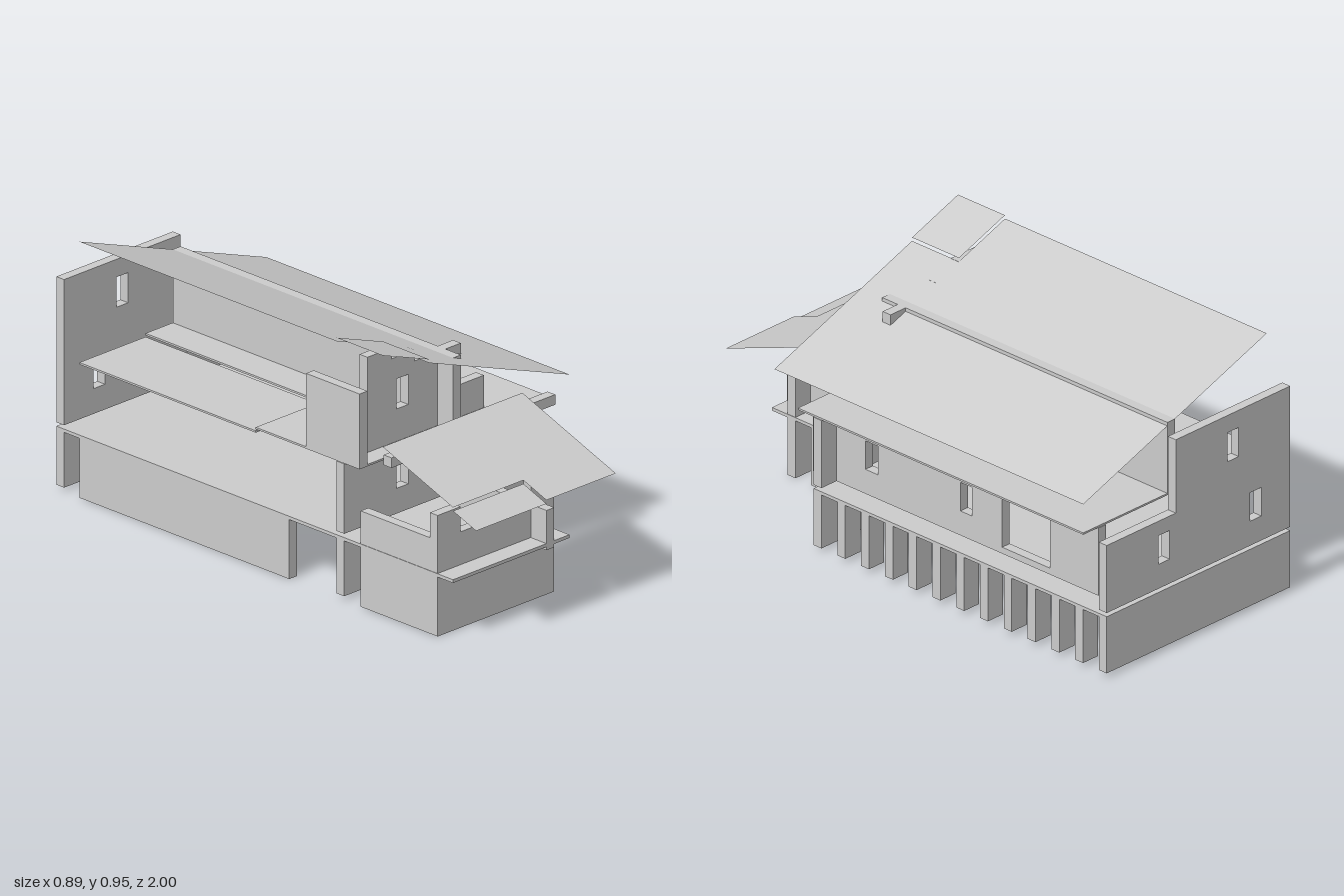
import * as THREE from 'three';

export function createModel() {
  const house = new THREE.Group();
  house.name = 'house';
  const solid = new THREE.MeshStandardMaterial({ color: 0xcccccc, flatShading: true });
  const sheet = new THREE.MeshStandardMaterial({ color: 0xcccccc, flatShading: true, side: THREE.DoubleSide });
  const T = 0.037; // wall thickness

  function add(name, geometry, material = solid) {
    const mesh = new THREE.Mesh(geometry, material);
    mesh.name = name;
    house.add(mesh);
    return mesh;
  }

  // Box given by its limits
  function box(name, x0, x1, y0, y1, z0, z1) {
    const mesh = add(name, new THREE.BoxGeometry(x1 - x0, y1 - y0, z1 - z0));
    mesh.position.set((x0 + x1) / 2, (y0 + y1) / 2, (z0 + z1) / 2);
  }

  // Outline with rectangular openings [u0, u1, v0, v1]
  function outline(points, holes = []) {
    const shape = new THREE.Shape(points.map(p => new THREE.Vector2(...p)));
    for (const [a, b, c, d] of holes) {
      shape.holes.push(new THREE.Path([[a, c], [a, d], [b, d], [b, c]].map(p => new THREE.Vector2(...p))));
    }
    return shape;
  }

  const rect = (a, b, c, d) => [[a, c], [b, c], [b, d], [a, d]];
  const extrude = (shape, depth) => new THREE.ExtrudeGeometry(shape, { depth, bevelEnabled: false });

  // Wall facing the front, its back face at z
  function frontWall(name, z, points, holes) {
    add(name, extrude(outline(points, holes), T)).position.z = z;
  }

  // Flat floor from a plan in (x, z)
  function floor(name, y, thickness, plan) {
    const geometry = extrude(outline(plan.map(([x, z]) => [x, -z])), thickness);
    add(name, geometry.rotateX(-Math.PI / 2)).position.y = y;
  }

  // Thin sloped sheet from a plan in (x, z) and a height rule
  function roof(name, plan, height) {
    const geometry = new THREE.ShapeGeometry(outline(plan.map(([x, z]) => [x, -z]))).rotateX(-Math.PI / 2);
    const p = geometry.attributes.position;
    for (let i = 0; i < p.count; i++) p.setY(i, height(p.getX(i), p.getZ(i)));
    geometry.computeVertexNormals();
    add(name, geometry, sheet);
  }

  // Base walls
  box('backBaseWall', -0.445, 0.445, 0.015, 0.217, -1, -0.963);
  box('frontBaseWall', -0.445, 0.445, 0.015, 0.217, 0.335, 0.372);
  box('sideBaseWall', -0.445, -0.408, 0, 0.217, -0.89, 0.11);
  box('porchFrontBaseWall', -0.445, 0.11, 0, 0.217, 0.78, 0.817);
  box('porchSideBaseWall', -0.445, -0.408, 0, 0.217, 0.45, 0.78);

  // Rows of short piers under the floors
  for (let i = 1; i < 12; i++) {
    const z = 0.335 - i * 0.1113;
    box('pier', 0.372, 0.445, 0.015, 0.217, z, z + T);
  }
  for (let i = 1; i < 4; i++) {
    const z = 0.78 - i * 0.11;
    box('porchPier', 0.037, 0.11, 0, 0.217, z, z + T);
  }

  // Floors; the upper one has a slightly lowered panel
  floor('lowerFloor', 0.217, 0.012,
    [[-0.445, -1], [0.445, -1], [0.445, 0.372], [0.11, 0.372], [0.11, 0.89], [-0.445, 0.89]]);
  floor('upperFloor', 0.5, 0.007,
    [[-0.13, -0.89], [0.445, -0.89], [0.445, 0.445], [-0.445, 0.445], [-0.445, -0.05], [-0.13, -0.05]]);
  floor('loweredFloorPanel', 0.487, 0.007,
    [[-0.445, -0.89], [-0.13, -0.89], [-0.13, -0.05], [-0.445, -0.05]]);

  // Stepped back wall with three windows
  frontWall('backWall', -1,
    [[-0.445, 0.243], [0.445, 0.243], [0.445, 0.498], [0.11, 0.498], [0.11, 0.775], [-0.445, 0.775]],
    [[0.14, 0.195, 0.335, 0.443], [-0.305, -0.25, 0.335, 0.443], [-0.195, -0.14, 0.6, 0.71]]);

  // Lower front wall
  frontWall('lowerFrontWall', 0.335, rect(-0.445, 0.445, 0.243, 0.498),
    [[0.14, 0.195, 0.335, 0.443], [-0.195, -0.14, 0.335, 0.443]]);

  // Upper front wall, stepped under the roof
  frontWall('upperFrontWall', 0.335,
    [[-0.445, 0.507], [0.22, 0.507], [0.22, 0.625], [0.11, 0.625], [0.11, 0.775], [-0.11, 0.775], [-0.11, 0.815],
      [-0.22, 0.815], [-0.22, 0.855], [-0.335, 0.855], [-0.335, 0.667], [-0.445, 0.667]],
    [[-0.195, -0.14, 0.625, 0.735]]);

  // Lower side wall with two windows and a wide opening reaching its top
  const side = outline(
    [[-0.445, 0.243], [0.89, 0.243], [0.89, 0.498], [0.665, 0.498], [0.665, 0.267], [0.44, 0.267], [0.44, 0.498], [-0.445, 0.498]],
    [[-0.2, -0.14, 0.335, 0.443], [0.245, 0.3, 0.335, 0.443]]);
  add('lowerSideWall', extrude(side, T).rotateY(Math.PI / 2)).position.x = 0.335;

  // Upper walls running front to back
  box('spineWall', 0, T, 0.507, 0.775, -0.89, 0.445);
  box('upperSideWall', -0.445, -0.408, 0.507, 0.775, 0.19, 0.445);

  // Porch walls, post and fin
  frontWall('porchFrontWall', 0.78,
    [[-0.445, 0.23], [0, 0.23], [0, 0.35], [-0.335, 0.35], [-0.335, 0.442], [-0.445, 0.442]]);
  box('porchSideWall', -0.445, -0.408, 0.23, 0.35, 0.45, 0.78);
  box('porchPost', 0, 0.11, 0.23, 0.43, 0.78, 0.817);
  box('porchFin', 0, T, 0.205, 0.35, 0.45, 0.89);
  box('porchBeam', -0.445, 0.335, 0.55, 0.587, 0.56, 0.597);

  // Main roof falling to one side, with a raised corner panel
  const mainHeight = x => 0.775 - 0.36 * x;
  roof('mainRoof',
    [[-0.445, -0.89], [0.445, -0.89], [0.445, 0.555], [-0.222, 0.555], [-0.222, 0.335], [-0.445, 0.335]], mainHeight);
  roof('raisedRoofPanel', rect(-0.445, -0.222, 0.335, 0.555), x => mainHeight(x) + 0.013);

  // Porch roof falling to the front, with a lowered corner panel
  const porchHeight = (x, z) => 0.615 - 0.364 * (z - 0.555);
  roof('porchRoof',
    [[-0.445, 0.555], [0.22, 0.555], [0.22, 1], [-0.11, 1], [-0.11, 0.89], [-0.445, 0.89]], porchHeight);
  roof('loweredPorchRoofPanel', rect(-0.445, -0.11, 0.89, 1), (x, z) => porchHeight(x, z) - 0.013);

  return house;
}
